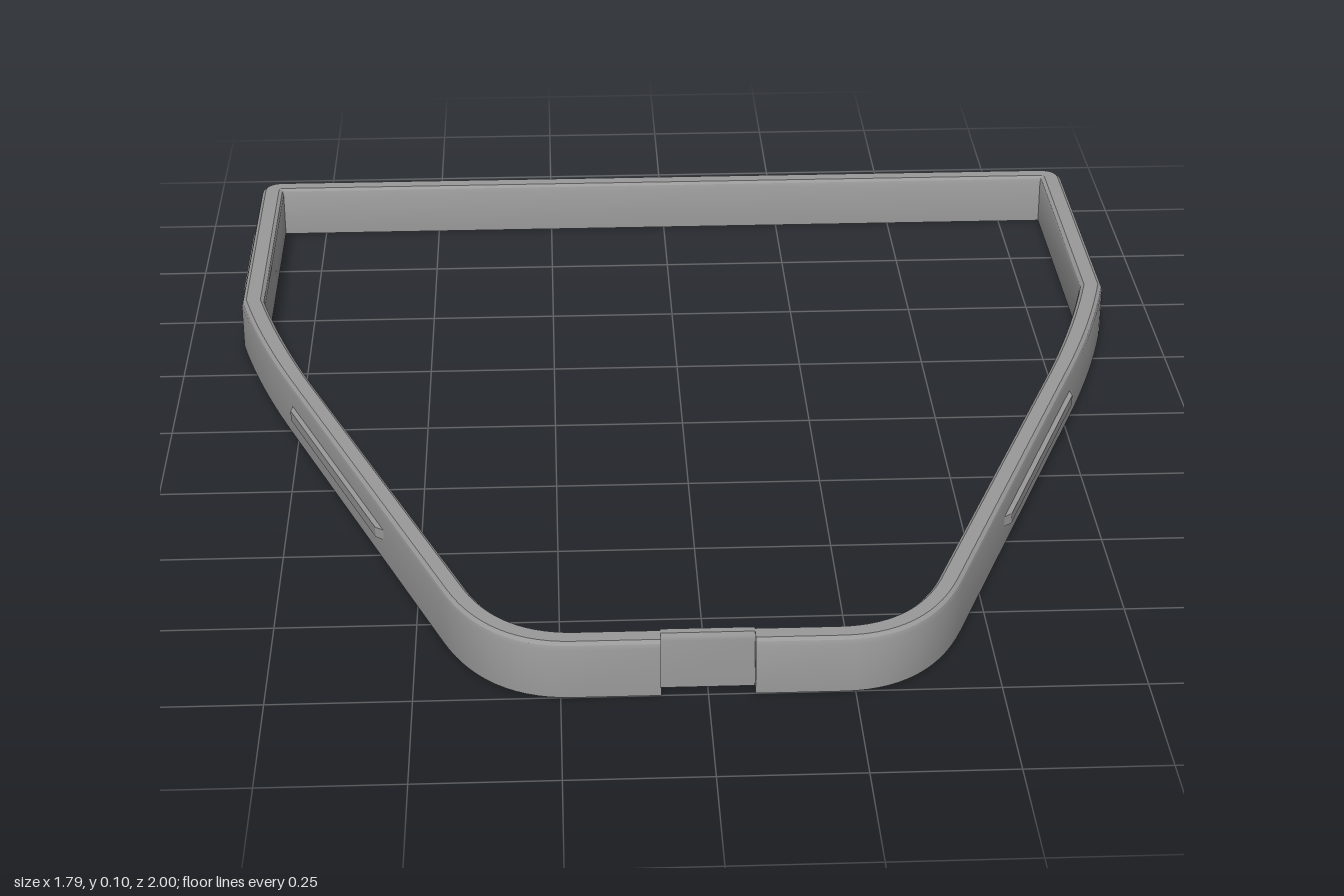
import * as THREE from 'three';
import { toCreasedNormals } from 'three/addons/utils/BufferGeometryUtils.js';

const HEIGHT = 0.105;

// Quadratic curve sampled to points [x, z]
function bend(a, c, b, n) {
  const v = p => new THREE.Vector2(p[0], p[1]);
  return new THREE.QuadraticBezierCurve(v(a), v(c), v(b)).getPoints(n).map(p => [p.x, p.y]);
}

// Closed outline from one half, mirrored across x = 0
const mirrored = half => [...half, ...half.map(([x, z]) => [-x, z]).reverse()];

// Quad strip over a grid of points; both directions close on themselves
function closedLoft(rings) {
  const n = rings.length, m = rings[0].length;
  const index = [];
  for (let i = 0; i < n; i++) {
    for (let k = 0; k < m; k++) {
      const i2 = (i + 1) % n, k2 = (k + 1) % m;
      const a = i * m + k, b = i * m + k2, c = i2 * m + k, d = i2 * m + k2;
      index.push(a, b, c, b, d, c);
    }
  }
  const g = new THREE.BufferGeometry();
  g.setAttribute('position', new THREE.Float32BufferAttribute(rings.flat(2), 3));
  g.setIndex(index);
  return toCreasedNormals(g, 0.5);
}

// Ring frame: paired outer and inner outlines joined by a rounded-top section
function frameGeometry() {
  const outer = mirrored([
    ...bend([0.84, -1], [0.888, -1], [0.888, -0.95], 6),
    ...bend([0.888, -0.385], [0.845, -0.2], [0.767, 0], 10),
    ...bend([0.452, 0.81], [0.378, 1], [0.23, 1], 14),
    [0.08, 1], [0.08, 0.975],
  ]);
  const inner = mirrored([
    ...Array(7).fill([0.84, -0.953]),
    ...bend([0.84, -0.385], [0.795, -0.2], [0.72, 0], 10),
    ...bend([0.405, 0.81], [0.345, 0.952], [0.22, 0.952], 14),
    [0.08, 0.952], [0.08, 0.952],
  ]);
  // [fraction from outer to inner wall, height]
  const section = [
    [0, 0], [0, 0.092], [0.06, 0.1], [0.2, HEIGHT],
    [0.8, HEIGHT], [0.94, 0.1], [1, 0.092], [1, 0],
  ];
  return closedLoft(outer.map(([x, z], i) => section.map(([t, y]) => [
    THREE.MathUtils.lerp(x, inner[i][0], t), y, THREE.MathUtils.lerp(z, inner[i][1], t),
  ])));
}

// Thin raised bar with tapered ends, running between two outline points
function sideBar(name, from, to, height, depth, material) {
  const dx = to[0] - from[0], dz = to[1] - from[1];
  const length = Math.hypot(dx, dz);
  const s = new THREE.Shape();
  s.moveTo(-length / 2, -0.005);
  s.lineTo(length / 2, -0.005);
  s.lineTo(length / 2 - 0.025, depth);
  s.lineTo(-length / 2 + 0.025, depth);
  const g = new THREE.ExtrudeGeometry(s, { depth: height, bevelEnabled: false });
  g.translate(0, 0, -height / 2);
  g.rotateX(Math.PI / 2);
  const bar = new THREE.Mesh(g, material);
  bar.name = name;
  bar.position.set((from[0] + to[0]) / 2, 0.053, (from[1] + to[1]) / 2);
  bar.rotation.y = Math.atan2(-dz, dx);
  return bar;
}

export function createModel() {
  const grey = new THREE.MeshStandardMaterial({ color: 0x999999 });
  grey.name = 'grey';
  const model = new THREE.Group();
  model.name = 'taperedFrame';

  const frame = new THREE.Mesh(frameGeometry(), grey);
  frame.name = 'frame';
  model.add(frame);

  // Raised bars on both sides; ends ordered so local +z points outward
  for (const [side, label] of [[1, 'left'], [-1, 'right']]) {
    const place = (name, back, front, h, d) => {
      const b = [side * back[0], back[1]], f = [side * front[0], front[1]];
      model.add(sideBar(label + name, side > 0 ? f : b, side > 0 ? b : f, h, d, grey));
    };
    place('RearBar', [0.888, -0.84], [0.888, -0.51], 0.016, 0.009);
    place('FrontBar', [0.763, 0.01], [0.562, 0.527], 0.02, 0.01);
  }
  return model;
}
